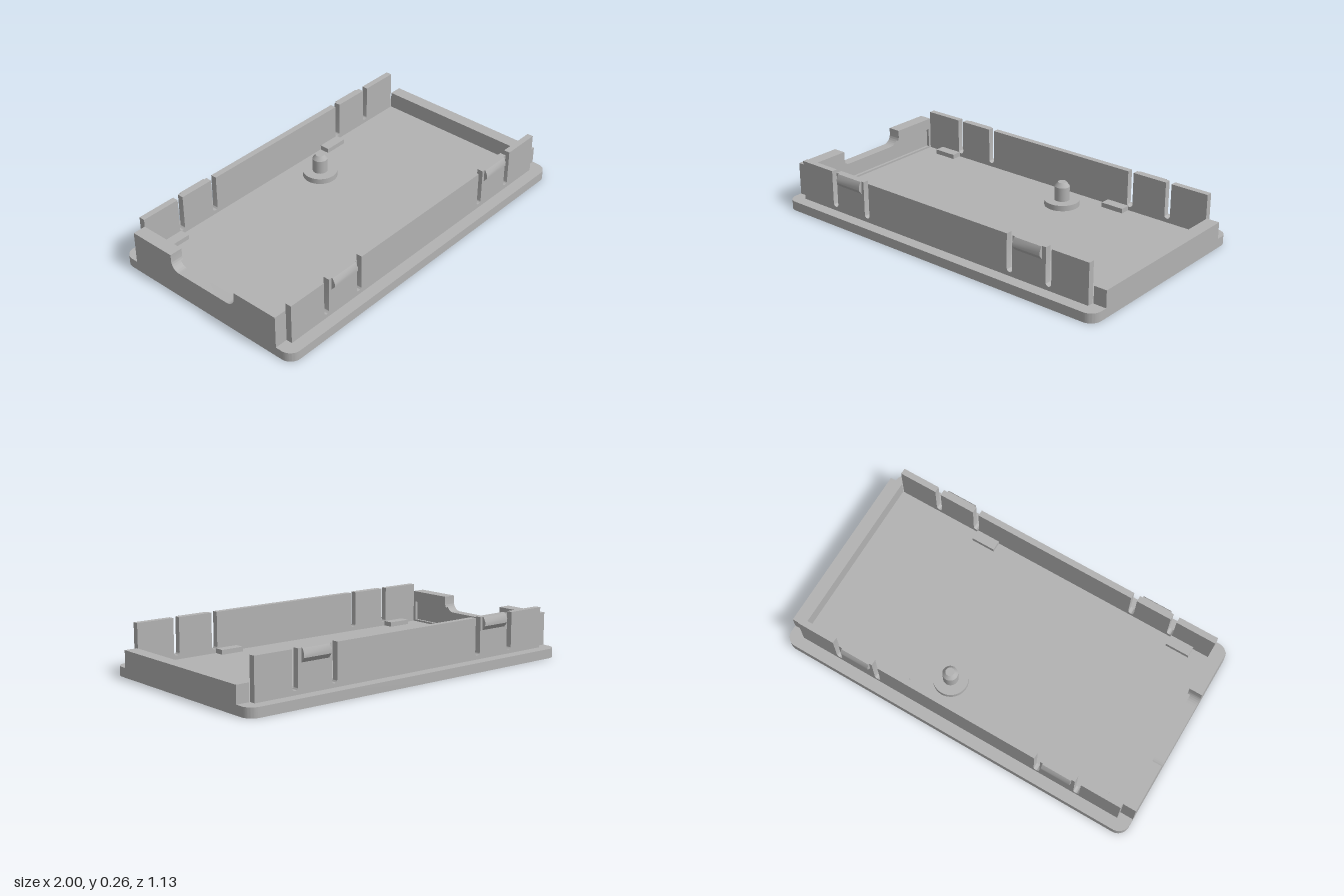
import * as THREE from 'three';
import { toCreasedNormals } from 'three/addons/utils/BufferGeometryUtils.js';

export function createModel() {
  const model = new THREE.Group();
  model.name = 'enclosureHalf';
  const grey = new THREE.MeshStandardMaterial({ color: 0xb2b2b2 });
  grey.name = 'grey plastic';

  const FLOOR = 0.05, WALL_IN = 0.47, WALL_OUT = 0.503, TOP = 0.265;

  function add(name, geometry, x = 0, y = 0, z = 0) {
    const mesh = new THREE.Mesh(geometry, grey);
    mesh.name = name;
    mesh.position.set(x, y, z);
    model.add(mesh);
    return mesh;
  }
  const extrude = (shape, depth) => toCreasedNormals(
    new THREE.ExtrudeGeometry(shape, { depth, bevelEnabled: false, curveSegments: 10 }), 0.5);
  const polygon = (pts) => new THREE.Shape(pts.map(([x, y]) => new THREE.Vector2(x, y)));

  // Base plate with rounded corners
  const W = 1, D = 0.565, R = 0.06;
  const plate = new THREE.Shape();
  plate.absarc(W - R, D - R, R, 0, Math.PI / 2);
  plate.absarc(-W + R, D - R, R, Math.PI / 2, Math.PI);
  plate.absarc(-W + R, -D + R, R, Math.PI, Math.PI * 1.5);
  plate.absarc(W - R, -D + R, R, Math.PI * 1.5, Math.PI * 2);
  plate.closePath();
  add('basePlate', extrude(plate, FLOOR).rotateX(-Math.PI / 2));

  // Long side walls, cut by round-bottomed slots that free the snap tabs
  const side = new THREE.Shape();
  side.moveTo(-0.93, FLOOR);
  side.lineTo(0.925, FLOOR);
  side.lineTo(0.925, TOP);
  const slotR = 0.0165;
  for (const x of [0.698, 0.468, -0.468, -0.695]) {
    side.lineTo(x + slotR, TOP);
    side.lineTo(x + slotR, 0.087);
    side.absarc(x, 0.087, slotR, 0, -Math.PI, true);
    side.lineTo(x - slotR, TOP);
  }
  side.lineTo(-0.93, TOP);
  side.closePath();
  const sideGeometry = extrude(side, WALL_OUT - WALL_IN);
  add('frontWall', sideGeometry, 0, 0, WALL_IN);
  add('backWall', sideGeometry, 0, 0, -WALL_OUT);

  // Snap hooks on the outside of the tabs (profile drawn as outward, up)
  const hook = polygon([[0, 0.197], [0.019, 0.22], [0.019, 0.24], [0.006, TOP], [0, TOP]]);
  const hookGeometry = extrude(hook, 0.16).translate(0, 0, -0.08).rotateY(-Math.PI / 2);
  for (const x of [-0.58, 0.58]) {
    add('frontSnapHook', hookGeometry, x, 0, WALL_OUT);
    add('backSnapHook', hookGeometry, x, 0, -WALL_OUT).rotation.y = Math.PI;
  }

  // Low end wall on the left
  add('lowEndWall', new THREE.BoxGeometry(0.07, 0.14 - FLOOR, 2 * WALL_IN),
    0.965, (0.14 + FLOOR) / 2, 0);

  // Tall end wall on the right: outer skin with a filleted notch
  const skin = new THREE.Shape();
  skin.moveTo(-WALL_IN, FLOOR);
  skin.lineTo(WALL_IN, FLOOR);
  skin.lineTo(WALL_IN, 0.225);
  skin.lineTo(0.21, 0.225);
  skin.absarc(0.16, 0.19, 0.05, 0, -Math.PI / 2, true);
  skin.absarc(-0.16, 0.19, 0.05, -Math.PI / 2, -Math.PI, true);
  skin.lineTo(-0.21, 0.225);
  skin.lineTo(-WALL_IN, 0.225);
  skin.closePath();
  add('tallEndWall', extrude(skin, 0.055).rotateY(Math.PI / 2), -1);

  // Inner layer of the tall wall, framing a shallow recess
  const frame = new THREE.Shape();
  frame.moveTo(-WALL_IN, FLOOR);
  frame.lineTo(WALL_IN, FLOOR);
  frame.lineTo(WALL_IN, 0.225);
  frame.lineTo(0.21, 0.225);
  frame.absarc(0.16, 0.19, 0.05, 0, -Math.PI / 6, true);
  frame.lineTo(0.455, 0.165);
  frame.lineTo(0.455, 0.06);
  frame.lineTo(-0.455, 0.06);
  frame.lineTo(-0.455, 0.165);
  frame.absarc(-0.16, 0.19, 0.05, -Math.PI * 5 / 6, -Math.PI, true);
  frame.lineTo(-0.21, 0.225);
  frame.lineTo(-WALL_IN, 0.225);
  frame.closePath();
  add('tallEndWallFrame', extrude(frame, 0.015).rotateY(Math.PI / 2), -0.945);

  // Small support blocks on the floor along the long walls
  const block = new THREE.BoxGeometry(0.13, 0.025, 0.055);
  for (const x of [-0.77, 0.395])
    for (const s of [-1, 1]) add('supportBlock', block, x, FLOOR + 0.0125, s * 0.4425);

  // Locating post with a collar and a tapered tip
  const px = 0.15, pz = -0.31;
  add('postCollar', new THREE.CylinderGeometry(0.092, 0.092, 0.03, 40), px, FLOOR + 0.015, pz);
  add('post', new THREE.CylinderGeometry(0.04, 0.04, 0.105, 32), px, 0.1025, pz);
  add('postTip', new THREE.CylinderGeometry(0.023, 0.04, 0.023, 32), px, 0.1665, pz);

  return model;
}
